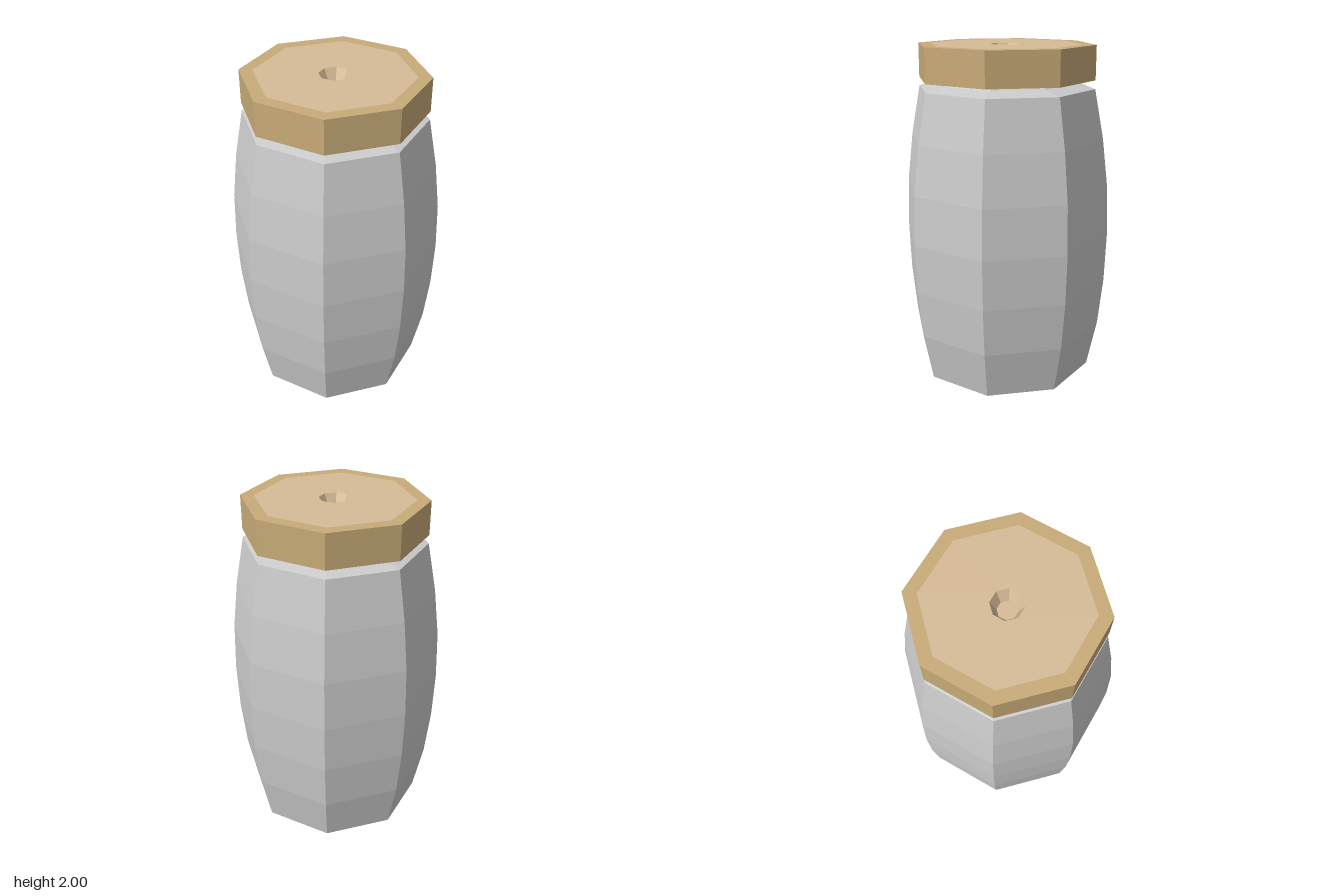
import * as THREE from 'three';

const SIDES = 8;

// Faceted solid of revolution; the profile runs from the bottom up and round to the top
function turned(name, profile, color) {
  const points = profile.map(([r, y]) => new THREE.Vector2(r, y));
  const geometry = new THREE.LatheGeometry(points, SIDES).toNonIndexed();
  geometry.computeVertexNormals();
  const material = new THREE.MeshStandardMaterial({ color, flatShading: true });
  const mesh = new THREE.Mesh(geometry, material);
  mesh.name = name;
  return mesh;
}

export function createModel() {
  const jar = new THREE.Group();
  jar.name = 'jar';

  // Bulging body with a recessed foot, sloping shoulder and short neck
  jar.add(turned('body', [
    [0, 0.05], [0.45, 0.05], [0.45, 0], [0.53, 0],
    [0.59, 0.29], [0.62, 0.58], [0.63, 0.875], [0.62, 1.17], [0.585, 1.46], [0.53, 1.75],
    [0.4, 1.775], [0.37, 1.8], [0.37, 1.82],
  ], 0xcccccc));

  // Lid rim, closed underneath
  jar.add(turned('lid', [
    [0, 1.8], [0.53, 1.8], [0.53, 2], [0.453, 2],
  ], 0xc8ab78));

  // Pale panel in the lid with a tapered dimple at the centre
  jar.add(turned('lidPanel', [
    [0.453, 2], [0.09, 2], [0.055, 1.93], [0, 1.93],
  ], 0xd6bb97));

  return jar;
}
